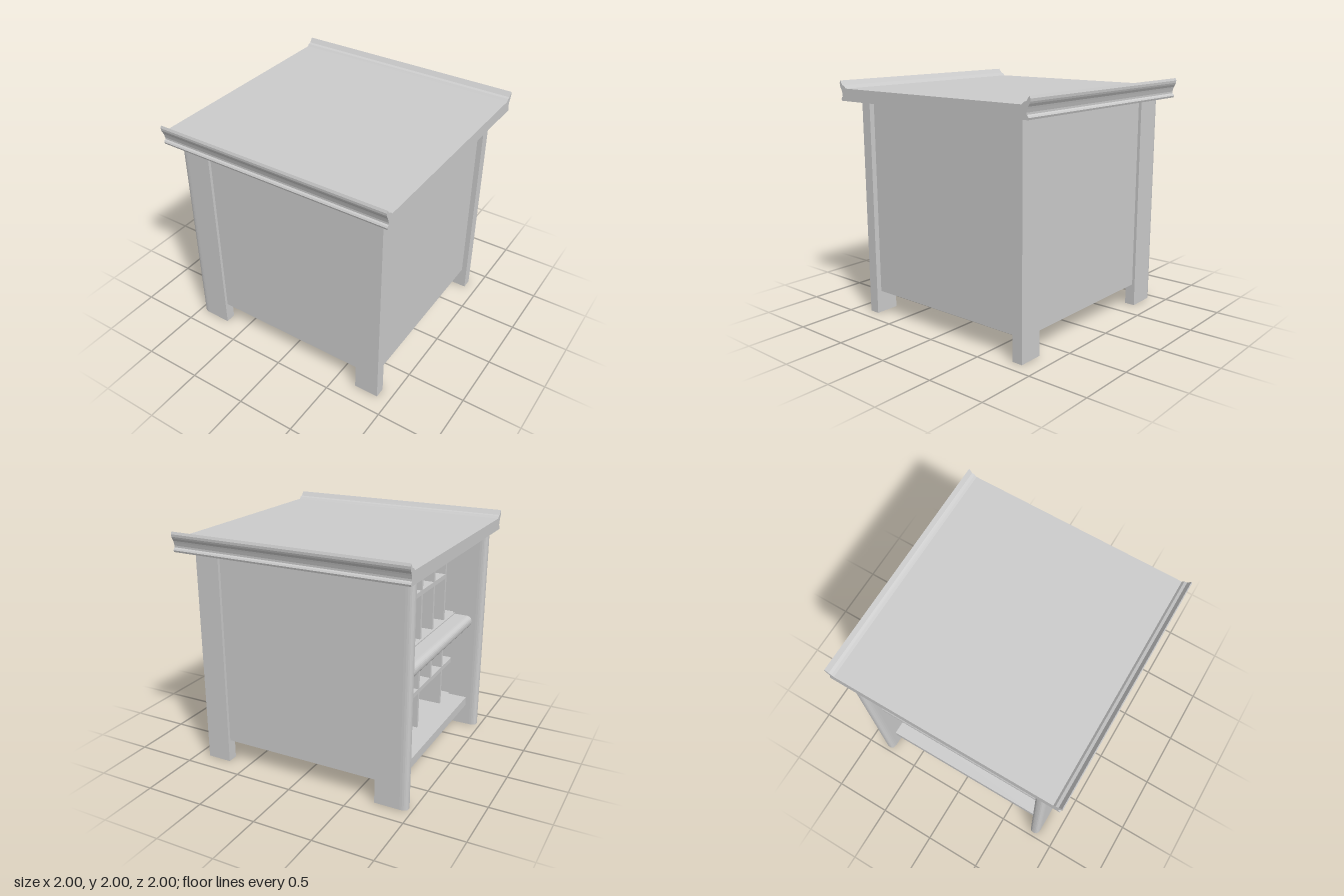
import * as THREE from 'three';

const grey = new THREE.MeshStandardMaterial({ color: 0xcccccc, flatShading: true });

function add(group, name, geometry) {
  const mesh = new THREE.Mesh(geometry, grey);
  mesh.name = name;
  group.add(mesh);
  return mesh;
}

// Box given by its limits on each axis
function box(group, name, x0, x1, y0, y1, z0, z1) {
  const mesh = add(group, name, new THREE.BoxGeometry(x1 - x0, y1 - y0, z1 - z0));
  mesh.position.set((x0 + x1) / 2, (y0 + y1) / 2, (z0 + z1) / 2);
  return mesh;
}

// Rectangle whose two corners on the -x edge are rounded
function bullnose(x0, x1, y0, y1, rx, ry) {
  const s = new THREE.Shape();
  s.moveTo(x1, y0);
  s.lineTo(x1, y1);
  s.lineTo(x0 + rx, y1);
  s.quadraticCurveTo(x0, y1, x0, y1 - ry);
  s.lineTo(x0, y0 + ry);
  s.quadraticCurveTo(x0, y0, x0 + rx, y0);
  s.closePath();
  return s;
}

function extrude(shape, depth) {
  return new THREE.ExtrudeGeometry(shape, { depth, bevelEnabled: false, curveSegments: 6 });
}

export function createModel() {
  const model = new THREE.Group();
  model.name = 'cabinet';

  // Top slab with upturned moulded ends, mirrored front to back
  const end = [
    [0.98, 1.835], [0.985, 1.85], [0.978, 1.862], [0.968, 1.87], [0.968, 1.885], [0.975, 1.91],
    [0.98, 1.925], [0.992, 1.945], [0.998, 1.96], [1, 1.98], [0.992, 2],
    [0.965, 1.962], [0.942, 1.955], [0.925, 1.937],
  ];
  const outline = [...end, ...end.map(([z, y]) => [-z, y]).reverse()];
  const top = extrude(new THREE.Shape(outline.map(([z, y]) => new THREE.Vector2(z, y))), 2);
  top.translate(0, 0, -1).rotateY(Math.PI / 2);
  add(model, 'top', top);

  // Legs and recessed panels on the front and back
  for (const side of [1, -1]) {
    const label = side > 0 ? 'front' : 'back';
    const z = (a, b) => (side > 0 ? [a, b] : [-b, -a]);
    box(model, label + 'Leg', 0.685, 0.895, 0, 1.84, ...z(0.76, 0.85));
    const [z0, z1] = z(0.76, 0.85);
    const leg = extrude(bullnose(-0.965, -0.69, -z1, -z0, 0.06, 0.04), 1.84);
    leg.rotateX(-Math.PI / 2);
    add(model, label + 'RoundedLeg', leg);
    box(model, label + 'Panel', -0.69, 0.85, 0.19, 1.84, ...z(0.79, 0.825));
  }
  box(model, 'sidePanel', 0.82, 0.85, 0.19, 1.84, -0.8, 0.8);

  // Bottom board and the main shelf with its rounded rail
  box(model, 'bottomBoard', -0.69, 0.84, 0.19, 0.27, -0.81, 0.81);
  box(model, 'bottomBoardEdge', -0.86, -0.69, 0.19, 0.27, -0.76, 0.76);
  box(model, 'middleShelf', -0.71, 0.82, 0.98, 1.08, -0.79, 0.79);
  const rail = extrude(bullnose(-0.87, -0.7, 0.97, 1.07, 0.05, 0.05), 1.52);
  rail.translate(0, 0, -0.76);
  add(model, 'shelfRail', rail);

  // Six bays: full dividers above, alternate full and half dividers below
  const bay = 1.6 / 6;
  const t = 0.014;
  const face = -0.69;
  for (let i = 1; i < 6; i++) {
    const z = -0.8 + i * bay;
    box(model, 'upperDivider', face, 0.82, 1.08, 1.84, z - t, z + t);
    box(model, 'lowerDivider', face, 0.82, i % 2 ? 0.27 : 0.63, 0.98, z - t, z + t);
  }

  // Small shelves; the last upper bay stays full height
  for (let i = 0; i < 6; i++) {
    const z = -0.8 + i * bay;
    if (i < 5) box(model, 'upperSmallShelf', face, 0.82, 1.46, 1.5, z + t, z + bay - t);
  }
  for (const [a, b] of [[0, 1], [1, 3], [3, 5], [5, 6]]) {
    box(model, 'lowerSmallShelf', face, 0.82, 0.59, 0.63, -0.8 + a * bay + t, -0.8 + b * bay - t);
  }

  return model;
}
